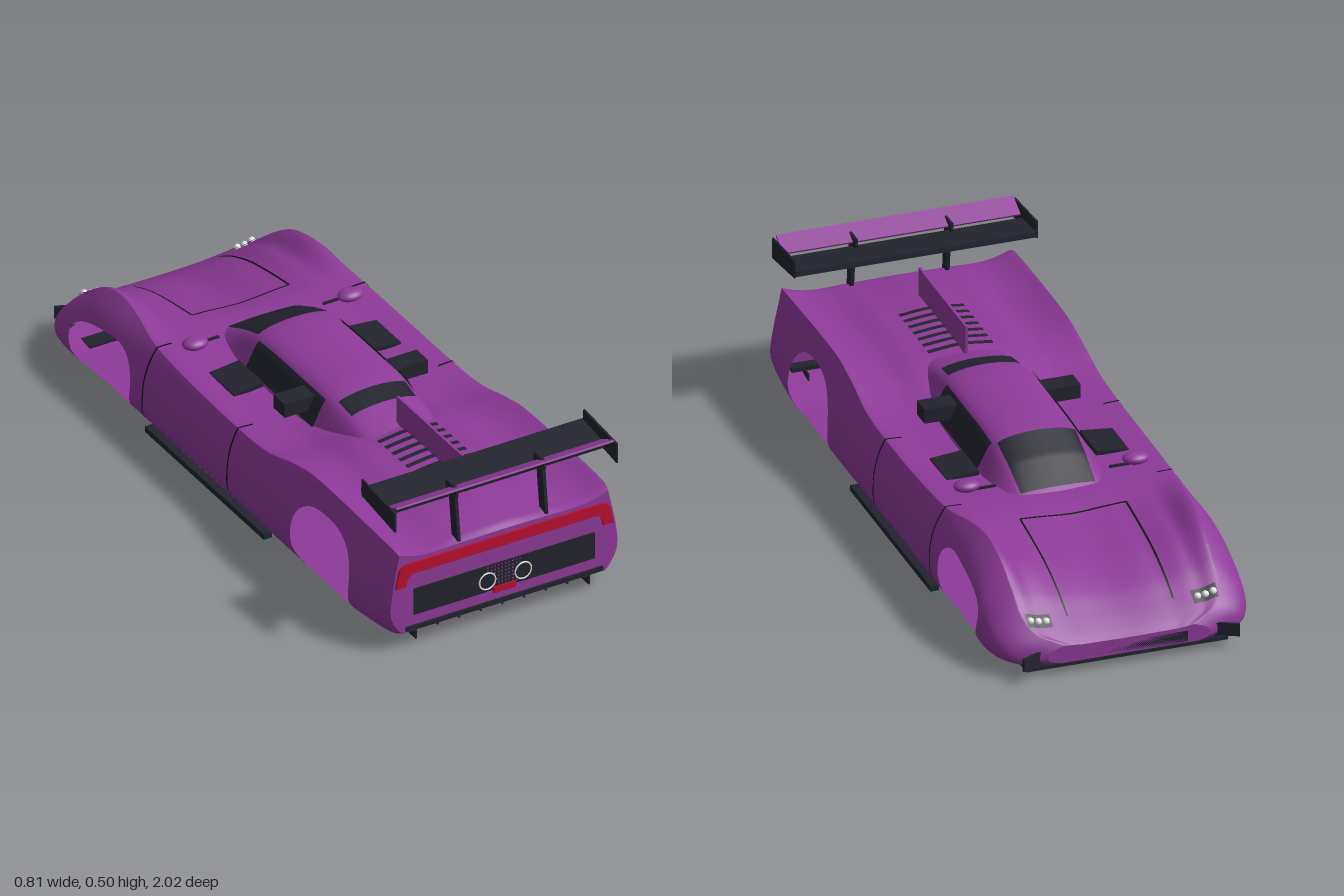
import * as THREE from 'three';
import { mergeGeometries, mergeVertices } from 'three/addons/utils/BufferGeometryUtils.js';

const mat = (name, color) => {
  const m = new THREE.MeshStandardMaterial({ color, side: THREE.DoubleSide });
  m.name = name;
  return m;
};
const paint = mat('purple paint', 0x8e3a99), dark = mat('dark trim', 0x23232f);
const black = mat('black seam', 0x121216), red = mat('red lamp', 0xb8102e);
const teal = mat('teal strip', 0x159a9c), light = mat('light metal', 0xe6e6e6);
const { clamp, smoothstep } = THREE.MathUtils;
const range = (a, b, n) => Array.from({ length: n + 1 }, (_, i) => a + (b - a) * i / n);

// Body stations: z, half width, shoulder x, shoulder y, deck y at x .24, centre y
const ST = [
  [-1, .25, .2, .095, .092, .088],
  [-.97, .345, .27, .125, .118, .107],
  [-.92, .388, .3, .165, .153, .135],
  [-.85, .402, .305, .222, .2, .168],
  [-.75, .405, .31, .285, .245, .2],
  [-.65, .405, .315, .31, .265, .225],
  [-.55, .402, .325, .303, .275, .248],
  [-.42, .398, .345, .284, .28, .275],
  [-.2, .396, .355, .274, .268, .265],
  [.1, .396, .358, .272, .266, .268],
  [.25, .398, .358, .283, .276, .3],
  [.38, .402, .355, .318, .304, .335],
  [.5, .405, .355, .34, .315, .343],
  [.8, .405, .356, .34, .312, .34],
  [.96, .395, .355, .334, .306, .318],
  [.985, .38, .35, .325, .302, .306],
];
const slope = (k, c) => {
  const a = ST[Math.max(k - 1, 0)], b = ST[Math.min(k + 1, ST.length - 1)];
  return (b[c] - a[c]) / (b[0] - a[0]);
};
// Smooth interpolation of the stations, with the floor height and width by rule
function station(z) {
  let k = 0;
  while (k < ST.length - 2 && z > ST[k + 1][0]) k++;
  const h = ST[k + 1][0] - ST[k][0], t = (z - ST[k][0]) / h, t2 = t * t, t3 = t2 * t;
  const [, W, S, F, D, C] = ST[k].map((v, c) => (2 * t3 - 3 * t2 + 1) * v + (t3 - 2 * t2 + t) * h * slope(k, c)
    + (3 * t2 - 2 * t3) * ST[k + 1][c] + (t3 - t2) * h * slope(k + 1, c));
  const y0 = .02 + Math.max(0, (z - .8) * .19, (-z - .85) * .13);
  return { W, S, F, D, C, y0, bw: Math.min(.36, W - .04) };
}
function topY(z, x) {
  const { S, F, D, C } = station(z), a = Math.abs(x), E = D + (C - D) * .6, d = Math.min(.24, S - .03);
  if (a <= .14) return C + (E - C) * smoothstep(a, 0, .14);
  if (a <= d) return E + (D - E) * smoothstep(a, .14, d);
  const t = Math.min(1, (a - d) / (S - d)), round = clamp((.4 - z) / .4, 0, 1);
  return D + (F - D) * (round * smoothstep(t, 0, 1) + (1 - round) * t * t);
}
function sideX(z, y) {
  const { W, S, F, y0, bw } = station(z), m = y0 + (F - y0) * .3, p = 2.7 - 1.3 * smoothstep(z, .1, .8);
  return y < m ? W - (W - bw) * ((m - y) / (m - y0)) ** 2 : W + (S - W) * Math.min(1, (y - m) / (F - m)) ** p;
}
const ARCH = [{ a: -.815, b: -.47, h0: .195, h1: .245 }, { a: .45, b: .785, h0: .27, h1: .27 }];
const NS = 16, NT = 22;
// Full cross-section from one sill over the top to the other; wheel arches raise its lower edge
function section(z, arch) {
  const { S, F, y0 } = station(z), pts = [];
  let yb = y0;
  if (arch) {
    const t = (z - arch.a) / (arch.b - arch.a), top = arch.h0 + (arch.h1 - arch.h0) * t;
    yb = .13 + (top - .13) * (1 - Math.min(1, Math.abs(2 * t - 1)) ** 2.6) ** (1 / 2.2);
  }
  for (const u of range(0, 1, NS)) {
    const y = yb + (F - yb) * (arch ? 1 - (1 - u) ** 1.5 : smoothstep(u, 0, 1));
    let zz = z;
    // Arch edges curl in towards the sill
    if (!arch && y < .13) for (const w of ARCH) {
      const q = .05 * ((.13 - y) / .11) ** 2;
      if (z <= w.a) zz += q * Math.max(0, 1 - (w.a - z) / .15);
      if (z >= w.b) zz -= q * Math.max(0, 1 - (z - w.b) / .15);
    }
    pts.push([sideX(z, y), y, zz]);
  }
  for (let i = 1; i <= NT; i++) {
    const x = S * (1 - i / NT);
    pts.push([x, topY(z, x), z]);
  }
  return pts.concat(pts.slice(0, -1).reverse().map(([x, y, q]) => [-x, y, q]));
}
// Surface through rows of points
function grid(rows) {
  const n = rows[0].length, idx = [];
  for (let i = 0; i < rows.length - 1; i++) for (let j = 0; j < n - 1; j++) {
    const a = i * n + j, b = a + n;
    idx.push(a, a + 1, b, a + 1, b + 1, b);
  }
  const g = new THREE.BufferGeometry();
  g.setAttribute('position', new THREE.Float32BufferAttribute(rows.flat(2), 3));
  g.setIndex(idx);
  g.computeVertexNormals();
  return g;
}
// Cabin: one roof profile scaled along the length; rows are z, height, width
const ROOF = new THREE.CatmullRomCurve3([[.185, .25], [.168, .28], [.135, .345], [.112, .368], [.06, .383], [0, .388]]
  .map(([x, y]) => new THREE.Vector3(x, y, 0)));
const CAB = [[-.43, .06, .95], [-.4, .22, .95], [-.3, .64, .98], [-.21, .92, 1], [-.1, .99, 1],
  [.18, 1, 1], [.3, .83, .95], [.42, .6, .95], [.5, .45, .9]];
function cabinPoint(z, u, off) {
  let k = 0;
  while (k < CAB.length - 2 && z > CAB[k + 1][0]) k++;
  const t = (z - CAB[k][0]) / (CAB[k + 1][0] - CAB[k][0]);
  const [h, w] = [1, 2].map(c => CAB[k][c] + (CAB[k + 1][c] - CAB[k][c]) * t);
  const v = Math.min(u, 2 - u), p = ROOF.getPoint(v);
  return [(p.x * w + off * (1 - v)) * (u > 1 ? -1 : 1), .25 + (p.y - .25) * h + off, z];
}

export function createModel() {
  const car = new THREE.Group();
  car.name = 'raceCar';
  const add = (name, geo, m, x = 0, y = 0, z = 0) => {
    const o = new THREE.Mesh(geo, m);
    o.name = name;
    o.position.set(x, y, z);
    car.add(o);
    return o;
  };
  const box = (name, w, h, d, m, x, y, z) => add(name, new THREE.BoxGeometry(w, h, d), m, x, y, z);
  const patch = (name, x0, x1, z0, z1, m, off = .003) => add(name, grid(range(z0, z1, 12)
    .map(z => range(x1, x0, 8).map(x => [x, topY(z, x) + off, z]))), m);
  const cabin = (name, z0, z1, u0, u1, m, off) => add(name, grid(range(z0, z1, 24)
    .map(z => range(u0, u1, 24).map(u => cabinPoint(z, u, off)))), m);

  // Body shell with open wheel arches
  const cuts = [[-1, -.815], [-.815, -.47, ARCH[0]], [-.47, .45], [.45, .785, ARCH[1]], [.785, .985]];
  const shells = cuts.map(([a, b, arch]) => grid(range(0, 1, 28).map(t =>
    section(a + (b - a) * (arch ? (1 - Math.cos(Math.PI * t)) / 2 : t), arch))));
  shells.forEach(g => g.deleteAttribute('normal'));
  const shell = mergeVertices(mergeGeometries(shells), 1e-4);
  shell.computeVertexNormals();
  add('bodyShell', shell, paint);
  add('floor', grid(range(-1, .985, 40).map(z => {
    const { bw, y0 } = station(z);
    return [[-bw, y0, z], [bw, y0, z]];
  })), paint);
  for (const [name, z] of [['tailPanel', .985], ['nosePanel', -1]]) {
    const outline = section(z).map(([x, y]) => new THREE.Vector2(x, y));
    add(name, new THREE.ShapeGeometry(new THREE.Shape(outline)), paint, 0, 0, z);
  }

  // Cabin and its glass
  cabin('cabinRoof', -.43, .5, 0, 2, paint, 0);
  cabin('windscreen', -.395, -.21, .55, 1.45, dark, .004);
  cabin('rearWindow', .23, .3, .6, 1.4, dark, .004);
  cabin('sideWindowLeft', -.19, .19, .15, .46, dark, .004);
  cabin('sideWindowRight', -.19, .19, 1.54, 1.85, dark, .004);

  // Panel seams, louvres and spine fin
  for (const s of [-1, 1]) patch('hoodSeam', s * .163 - .003, s * .163 + .003, -.92, -.52, black);
  patch('hoodSeamRear', -.163, .163, -.523, -.517, black);
  for (const z of [-.4, .08]) {
    const rows = [z - .003, z + .003].map(q => section(q).map(([x, y, w]) => [x * 1.005, y + .001, w]));
    add('doorSeamLeft', grid(rows.map(r => r.slice(1, NS + 4))), black);
    add('doorSeamRight', grid(rows.map(r => r.slice(-NS - 4, -1))), black);
  }
  for (const z of range(.43, .67, 6)) patch('engineLouvre', -.1, .1, z, z + .017, dark, .005);
  box('spineFin', .008, .11, .4, paint, 0, .375, .58);

  // Rear wing
  box('wingMainPlane', .744, .016, .13, dark, 0, .452, .868).rotation.x = .12;
  box('wingFlap', .73, .006, .07, paint, 0, .479, .962).rotation.x = -.45;
  const plate = new THREE.Shape([[.81, .445], [.81, .5], [1, .485], [1, .42]].map(([z, y]) => new THREE.Vector2(-z, y)));
  for (const s of [-1, 1]) {
    const end = new THREE.ExtrudeGeometry(plate, { depth: .006, bevelEnabled: false });
    add('wingEndPlate', end, dark, s * .372 - .003).rotation.y = Math.PI / 2;
    box('wingStrut', .01, .15, .035, dark, s * .147, .38, .955).rotation.x = -.12;
    box('wingBracket', .008, .03, .06, dark, s * .147, .468, .94);
  }

  // Tail lamp, grille, exhausts and diffuser
  const lamp = new THREE.Shape();
  lamp.moveTo(-.365, .215);
  lamp.lineTo(-.355, .265);
  lamp.quadraticCurveTo(-.348, .29, -.32, .29);
  lamp.lineTo(.32, .29);
  lamp.quadraticCurveTo(.348, .29, .355, .265);
  lamp.lineTo(.365, .215);
  lamp.lineTo(.33, .215);
  lamp.quadraticCurveTo(.328, .254, .3, .254);
  lamp.lineTo(-.3, .254);
  lamp.quadraticCurveTo(-.328, .254, -.33, .215);
  add('tailLamp', new THREE.ExtrudeGeometry(lamp, { depth: .009, bevelEnabled: false }), red, 0, 0, .983);
  for (const s of [-1, 1]) {
    box('rearGrille', .24, .088, .006, dark, s * .183, .154, .986);
    add('exhaustPipe', new THREE.CylinderGeometry(.027, .027, .02, 28), dark, s * .06, .15, .984).rotation.x = Math.PI / 2;
    add('exhaustRing', new THREE.TorusGeometry(.027, .0025, 8, 28), light, s * .06, .15, .994);
  }
  for (const x of range(-.06, .06, 10)) box('grilleBar', .005, .088, .004, dark, x, .154, .986);
  for (const y of range(.113, .195, 7)) box('grilleBar', .13, .005, .004, dark, 0, y, .986);
  box('fogLamp', .074, .02, .008, red, 0, .11, .988);
  box('diffuserLip', .66, .014, .04, dark, 0, .068, .972);
  for (const x of range(-.29, .29, 8)) {
    const h = Math.abs(x) > .25 ? .045 : .02;
    box('diffuserFin', .005, h, .06, dark, x, .065 - h / 2, .95);
  }

  for (const s of [-1, 1]) {
    // Side skirts
    box('sideSkirt', .027, .018, .68, dark, s * .38, .021, -.055);
    box('skirtStrip', .01, .012, .66, teal, s * .38, .006, -.055);
    // Cockpit intakes and door pads
    box('cockpitIntake', .11, .045, .065, dark, s * .185, .325, .11);
    box('doorPad', .1, .014, .14, dark, s * .23, .272, -.15).rotation.z = -s * .1;
    // Mirrors
    add('mirror', new THREE.SphereGeometry(1, 24, 16), paint, s * .26, .305, -.335).scale.set(.04, .018, .03);
    box('mirrorStalk', .06, .006, .008, dark, s * .205, .295, -.345);
    // Headlights
    patch('headlight', s * .255 - .038, s * .255 + .038, -.952, -.915, dark, .005);
    for (const x of range(.233, .281, 2)) {
      add('headlightBulb', new THREE.SphereGeometry(.011, 14, 10), light, s * x, topY(-.933, x) + .004, -.933);
    }
    box('noseGrille', .14, .04, .008, dark, s * .27, .062, -.987).rotation.y = s * .45;
  }
  box('noseGrilleCentre', .36, .035, .006, dark, 0, .06, -.997);
  box('splitter', .62, .01, .13, dark, 0, .022, -.915);
  return car;
}
